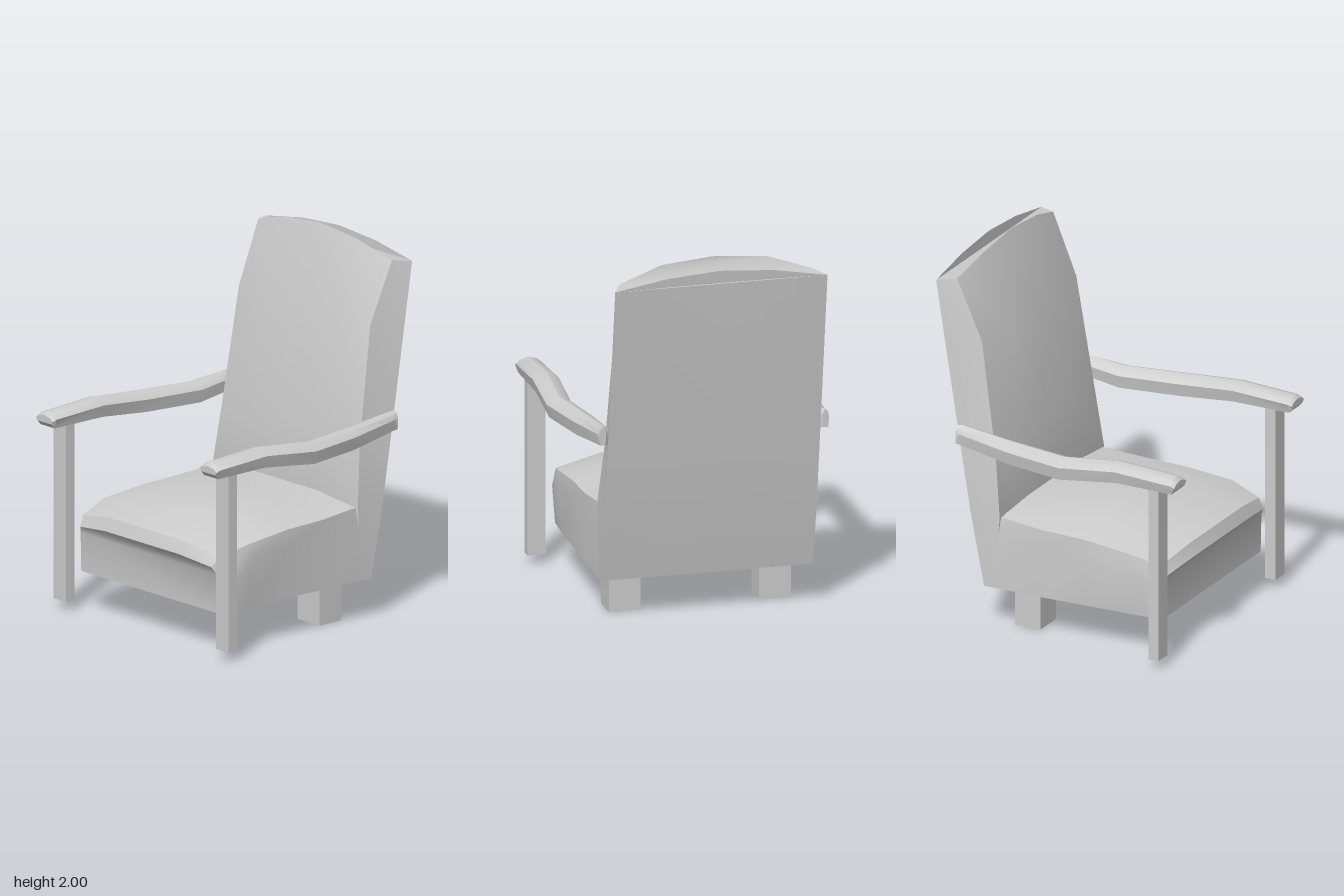
import * as THREE from 'three';
import { toCreasedNormals } from 'three/addons/utils/BufferGeometryUtils.js';

const material = new THREE.MeshStandardMaterial({ color: 0xcccccc });

function addMesh(group, name, geometry) {
  const mesh = new THREE.Mesh(geometry, material);
  mesh.name = name;
  group.add(mesh);
  return mesh;
}

// Close a half cross-section by mirroring it across x = 0
const mirrored = half => [...half, ...half.map(([x, y, z]) => [-x, y, z]).reverse()];

// Skin a row of equal cross-sections and cap both ends with strips
function loft(rings, crease = 0.5) {
  const n = rings[0].length, points = rings.flat(), faces = [];
  const quad = (a, b, c, d) => faces.push([a, b, c], [a, c, d]);
  for (let r = 0; r < rings.length - 1; r++) {
    for (let i = 0; i < n; i++) {
      const j = (i + 1) % n;
      quad(r * n + i, r * n + j, (r + 1) * n + j, (r + 1) * n + i);
    }
  }
  const cap = (base, flip) => {
    for (let i = 0; i < Math.floor(n / 2); i++) {
      const k = n - 1 - i;
      if (k - i < 2) break;
      const f = k - i === 2 ? [[i, i + 1, k]] : [[i, i + 1, k - 1], [i, k - 1, k]];
      f.forEach(t => faces.push((flip ? t.reverse() : t).map(v => v + base)));
    }
  };
  cap(0, true);
  cap((rings.length - 1) * n, false);

  // Turn all faces outward using the sign of the enclosed volume
  const v = points.map(p => new THREE.Vector3(...p));
  let volume = 0;
  faces.forEach(([a, b, c]) => { volume += v[a].dot(v[b].clone().cross(v[c])); });
  if (volume < 0) faces.forEach(f => f.reverse());

  const geometry = new THREE.BufferGeometry();
  geometry.setAttribute('position', new THREE.Float32BufferAttribute(points.flat(), 3));
  geometry.setIndex(faces.flat());
  return toCreasedNormals(geometry, crease);
}

export function createModel() {
  const chair = new THREE.Group();
  chair.name = 'armchair';

  // Seat: sections from front to back (bottom, side, edge, crown)
  const seat = [
    [[0.535, 0.22, 0.58], [0.535, 0.43, 0.585], [0.515, 0.47, 0.605], [0.29, 0.5, 0.635]],
    [[0.54, 0.22, 0.57], [0.575, 0.45, 0.5], [0.535, 0.52, 0.57], [0.29, 0.57, 0.61]],
    [[0.55, 0.22, 0.39], [0.588, 0.5, 0.37], [0.575, 0.57, 0.39], [0.29, 0.63, 0.38]],
    [[0.56, 0.22, 0.12], [0.575, 0.5, 0.12], [0.57, 0.595, 0.12], [0.29, 0.667, 0.13]],
    [[0.57, 0.22, -0.12], [0.57, 0.5, -0.12], [0.57, 0.6, -0.12], [0.29, 0.652, -0.13]],
    [[0.572, 0.22, -0.45], [0.57, 0.5, -0.45], [0.55, 0.62, -0.42], [0.29, 0.655, -0.4]],
  ];
  addMesh(chair, 'seat', loft(seat.map(mirrored)));

  // Backrest: each level gives rear y and z, front edge x, y, z and front centre z
  const levels = [
    [0.22, -0.46, 0.57, 0.22, -0.4, -0.4],
    [0.62, -0.54, 0.57, 0.62, -0.37, -0.345],
    [0.95, -0.594, 0.54, 0.95, -0.41, -0.385],
    [1.57, -0.694, 0.515, 1.57, -0.505, -0.465],
    [1.89, -0.745, 0.525, 1.9, -0.648, -0.612],
  ];
  const back = levels.map(([yb, zb, xe, ye, ze, zf], i) => {
    const arch = i === levels.length - 1 ? 1 : 0;
    return mirrored([
      [0.02, yb + 0.07 * arch, zb], [0.29, yb + 0.05 * arch, zb], [0.575, yb, zb],
      [xe, ye, ze], [0.29, ye + 0.075 * arch, zf], [0.02, ye + 0.1 * arch, zf],
    ]);
  });
  addMesh(chair, 'backrest', loft(back));

  // Armrest stations: z, inner x, outer x, bottom y, edge y, crown y
  const stations = [
    [0.742, 0.575, 0.71, 1.035, 1.05, 1.075],
    [0.72, 0.572, 0.712, 1.01, 1.06, 1.093],
    [0.39, 0.57, 0.71, 1.01, 1.075, 1.112],
    [0.06, 0.59, 0.725, 0.97, 1.04, 1.08],
    [-0.27, 0.54, 0.665, 0.97, 1.04, 1.08],
    [-0.58, 0.556, 0.628, 1.01, 1.07, 1.11],
    [-0.605, 0.585, 0.622, 1.01, 1.07, 1.11],
  ];
  for (const [side, s] of [['left', 1], ['right', -1]]) {
    const arm = stations.map(([z, xi, xo, yb, ye, yt]) => {
      const w = xo - xi, bevel = yt - (yt - ye) * 0.35;
      return [
        [xi + w * 0.1, yb, z], [xi, ye, z], [xi + w * 0.2, bevel, z], [xi + w * 0.5, yt, z],
        [xo - w * 0.2, bevel, z], [xo, ye, z], [xo - w * 0.1, yb, z],
      ].map(([x, y, zz]) => [s * x, y, zz]);
    });
    addMesh(chair, side + 'Armrest', loft(arm, 0.6));

    // Front post carrying the armrest, and short rear foot
    addMesh(chair, side + 'FrontLeg', new THREE.BoxGeometry(0.098, 0.97, 0.06))
      .position.set(s * 0.638, 0.535, 0.608);
    addMesh(chair, side + 'RearLeg', new THREE.BoxGeometry(0.172, 0.24, 0.15))
      .position.set(s * 0.407, 0.12, -0.245);
  }
  return chair;
}
